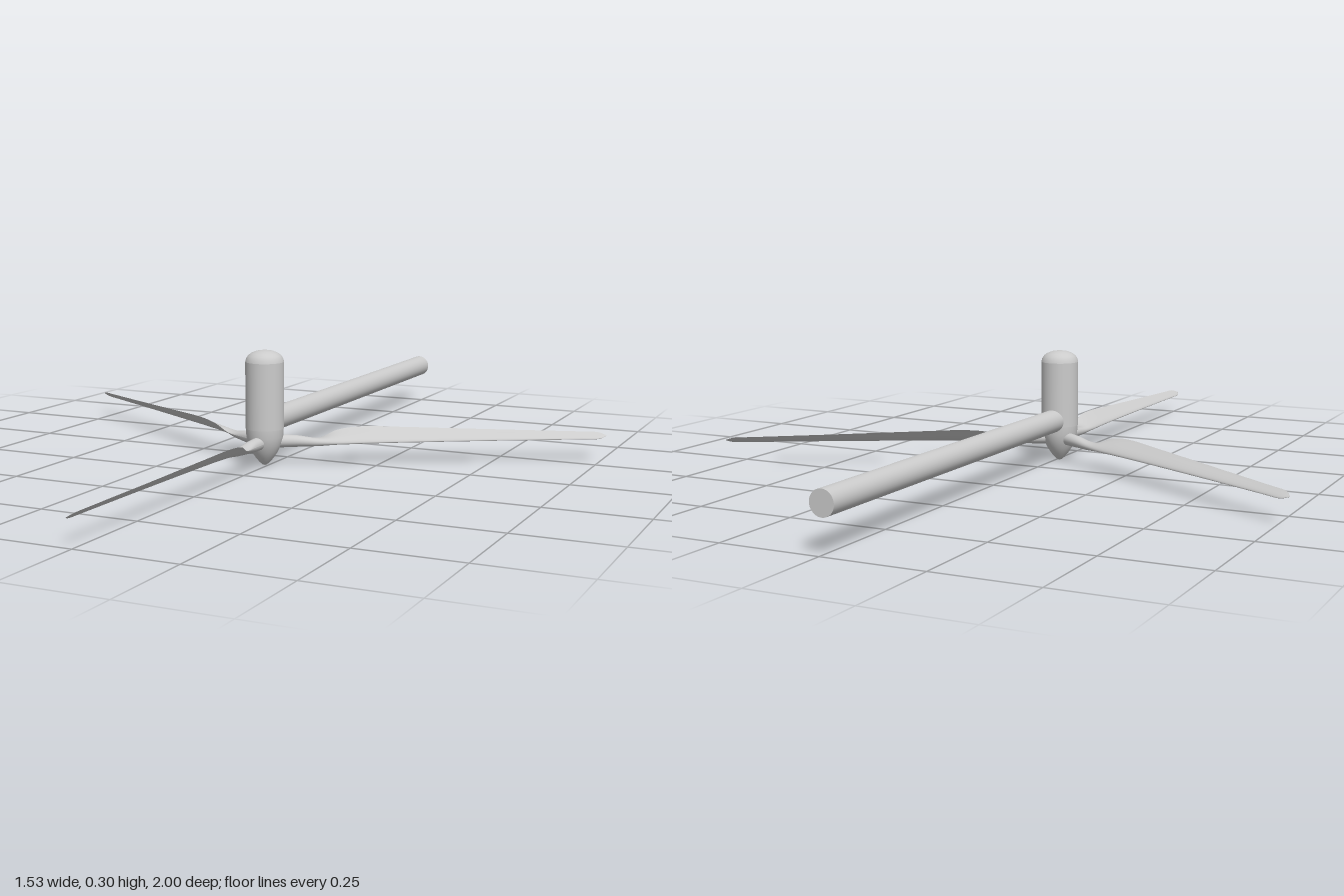
import * as THREE from 'three';

const material = new THREE.MeshStandardMaterial({ color: 0xcccccc, side: THREE.DoubleSide });

// Rotor axis position
const HUB_X = -0.009;
const HUB_Z = 0.115;

function addMesh(parent, name, geometry) {
  const mesh = new THREE.Mesh(geometry, material);
  mesh.name = name;
  parent.add(mesh);
  return mesh;
}

function lathe(points) {
  return new THREE.LatheGeometry(points.map(([r, y]) => new THREE.Vector2(r, y)), 40);
}

// Blade stations: radius, leading edge x/y, trailing edge x/y, thickness
const STATIONS = [
  [0.02, -0.016, 0.062, 0.018, 0.062, 0.034],
  [0.08, -0.016, 0.060, 0.018, 0.062, 0.030],
  [0.14, -0.015, 0.055, 0.022, 0.064, 0.019],
  [0.19, -0.015, 0.054, 0.032, 0.083, 0.013],
  [0.26, -0.014, 0.055, 0.036, 0.090, 0.011],
  [0.38, -0.013, 0.056, 0.031, 0.087, 0.009],
  [0.60, -0.013, 0.057, 0.021, 0.080, 0.007],
  [0.80, -0.013, 0.057, 0.011, 0.074, 0.005],
  [0.86, -0.013, 0.057, 0.008, 0.072, 0.004],
  [0.885, -0.004, 0.063, -0.002, 0.065, 0.001],
];

// Twisted blade along +z, lofted from a round root to a sharp-edged airfoil
function bladeGeometry() {
  const curve = (f) => new THREE.CatmullRomCurve3(STATIONS.map(f), false, 'catmullrom', 0.5);
  const leading = curve((s) => new THREE.Vector3(s[1], s[2], s[0]));
  const trailing = curve((s) => new THREE.Vector3(s[3], s[4], s[0]));
  const thickness = curve((s) => new THREE.Vector3(s[5], 0, s[0]));
  const rows = 54, cols = 28;
  const positions = [], indices = [];
  for (let i = 0; i <= rows; i++) {
    const L = leading.getPoint(i / rows);
    const T = trailing.getPoint(i / rows);
    const half = thickness.getPoint(i / rows).x / 2;
    const dx = (T.x - L.x) / 2, dy = (T.y - L.y) / 2;
    const len = Math.hypot(dx, dy);
    const k = THREE.MathUtils.smoothstep(L.z, 0.07, 0.2);
    for (let j = 0; j <= cols; j++) {
      const a = (j / cols) * Math.PI * 2;
      const c = Math.cos(a);
      const h = half * Math.sin(a) * (1 - k * c) / (1 + 0.3 * k);
      positions.push(
        (L.x + T.x) / 2 + dx * c - (dy / len) * h,
        (L.y + T.y) / 2 + dy * c + (dx / len) * h,
        L.z
      );
      if (i < rows && j < cols) {
        const p = i * (cols + 1) + j, q = p + cols + 1;
        indices.push(p, p + 1, q, p + 1, q + 1, q);
      }
    }
  }
  const geometry = new THREE.BufferGeometry();
  geometry.setAttribute('position', new THREE.Float32BufferAttribute(positions, 3));
  geometry.setIndex(indices);
  geometry.computeVertexNormals();
  return geometry;
}

export function createModel() {
  const model = new THREE.Group();
  model.name = 'windTurbine';

  // Tower lying along -z
  const towerLength = 1.1;
  const tower = addMesh(model, 'tower', new THREE.CylinderGeometry(0.03, 0.03, towerLength, 40));
  tower.rotation.x = Math.PI / 2;
  tower.position.set(HUB_X, 0.111, -1 + towerLength / 2);

  // Nacelle: upright barrel with a rounded end
  const nacelle = new THREE.Group();
  nacelle.name = 'nacelle';
  nacelle.position.set(HUB_X, 0, HUB_Z);
  model.add(nacelle);
  const body = addMesh(nacelle, 'nacelleBody', new THREE.CylinderGeometry(0.049, 0.049, 0.17, 40));
  body.position.y = 0.181;
  addMesh(nacelle, 'nacelleDome', lathe([
    [0.049, 0.266], [0.047, 0.274], [0.042, 0.282], [0.034, 0.288], [0.022, 0.293], [0.01, 0.295], [0, 0.2955],
  ]));

  // Rotor: pointed spinner and three blades
  const rotor = new THREE.Group();
  rotor.name = 'rotor';
  rotor.position.set(HUB_X, 0, HUB_Z);
  model.add(rotor);
  addMesh(rotor, 'spinner', lathe([
    [0, 0], [0.006, 0.002], [0.013, 0.008], [0.024, 0.021], [0.034, 0.037], [0.042, 0.055], [0.047, 0.075], [0.048, 0.096],
  ]));
  const blade = bladeGeometry();
  for (let i = 0; i < 3; i++) {
    addMesh(rotor, 'blade' + (i + 1), blade).rotation.y = (i * Math.PI * 2) / 3;
  }

  return model;
}
